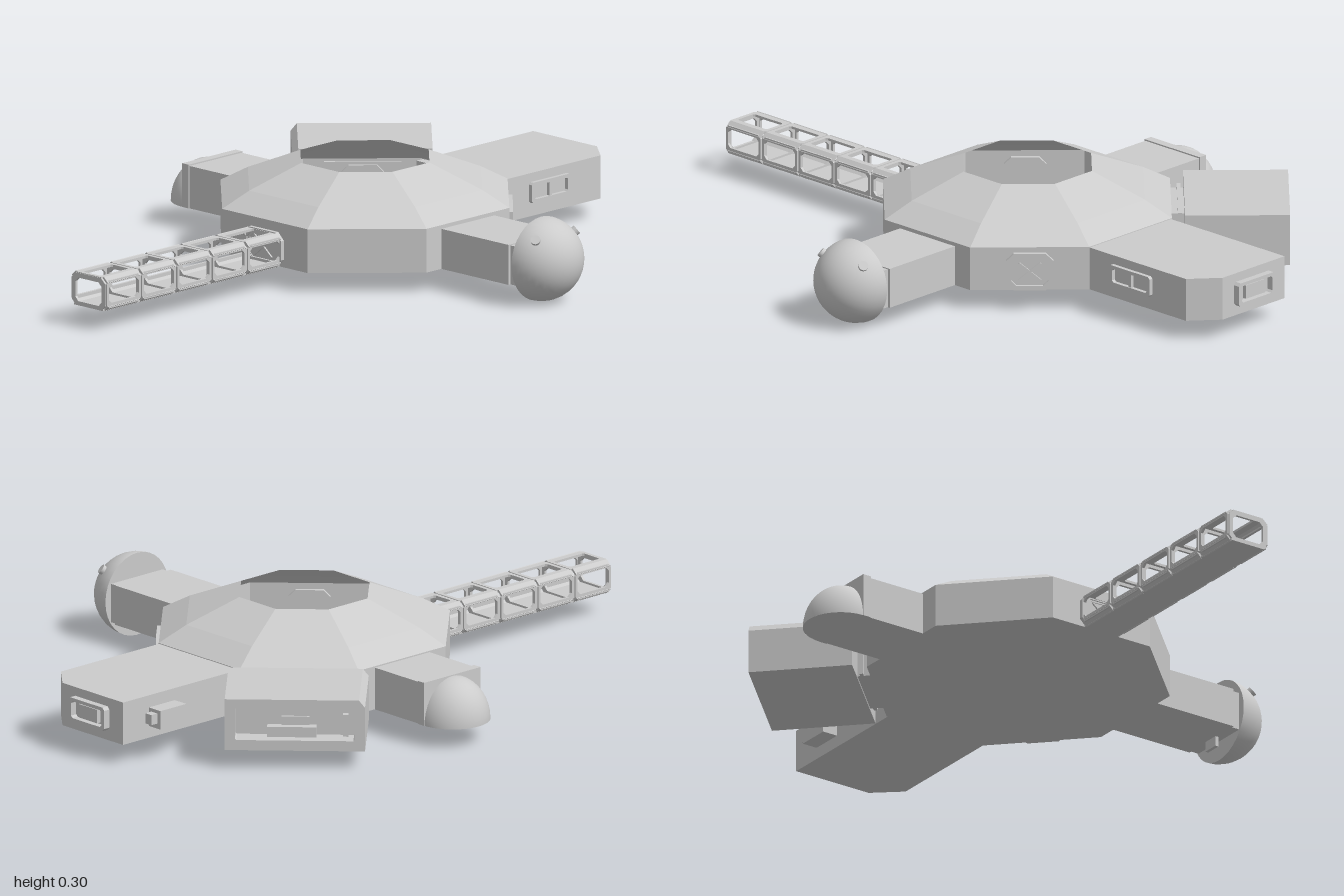
import * as THREE from 'three';

const mat = new THREE.MeshStandardMaterial({ color: 0xcccccc, flatShading: true, side: THREE.DoubleSide });
const smooth = new THREE.MeshStandardMaterial({ color: 0xcccccc, side: THREE.DoubleSide });
const BASE = 0.06;

function add(parent, name, geo, material = mat) {
  const m = new THREE.Mesh(geo, material);
  m.name = name;
  parent.add(m);
  return m;
}

// Box given by its limits on each axis
function box(parent, name, x0, x1, y0, y1, z0, z1) {
  const m = add(parent, name, new THREE.BoxGeometry(x1 - x0, y1 - y0, z1 - z0));
  m.position.set((x0 + x1) / 2, (y0 + y1) / 2, (z0 + z1) / 2);
  return m;
}

const poly = (pts) => new THREE.Shape(pts.map(([x, y]) => new THREE.Vector2(x, y)));

// Rectangle with cut corners
function cutRect(x0, x1, y0, y1, c) {
  return [[x0 + c, y0], [x1 - c, y0], [x1, y0 + c], [x1, y1 - c],
    [x1 - c, y1], [x0 + c, y1], [x0, y1 - c], [x0, y0 + c]];
}

function plate(outer, holes, depth) {
  const s = poly(outer);
  holes.forEach((h) => s.holes.push(poly(h)));
  return new THREE.ExtrudeGeometry(s, { depth, bevelEnabled: false });
}

// Group whose local +z points away from the hub
function spoke(parent, name, angle) {
  const g = new THREE.Group();
  g.name = name;
  g.rotation.y = angle;
  parent.add(g);
  return g;
}

// Framed hatch with cross bars, facing +z
function hatch(parent, name, x, y, z, w, h) {
  const g = new THREE.Group();
  g.name = name;
  g.position.set(x, y, z);
  parent.add(g);
  const a = w / 2, b = h / 2, t = 0.014;
  add(g, 'hatchFrame', plate(cutRect(-a, a, -b, b, 0.022),
    [cutRect(-a + t, a - t, -b + t, b - t, 0.016)], 0.012));
  add(g, 'hatchPanel', plate(cutRect(-a + t, a - t, -b + t, b - t, 0.016), [], 0.005));
  for (const s of [-1, 1]) {
    const bar = box(g, 'hatchBar', -a * 0.6, a * 0.6, -0.003, 0.003, 0.004, 0.01);
    bar.rotation.z = s * 0.7;
  }
}

function buildHub(root) {
  const hub = new THREE.Group();
  hub.name = 'hub';
  root.add(hub);
  const k = 1 / Math.cos(Math.PI / 8);
  const profile = [[0, BASE], [0.407, BASE], [0.407, 0.188], [0.33, 0.233], [0.182, 0.298]]
    .map(([r, y]) => new THREE.Vector2(r * k, y));
  const shell = new THREE.LatheGeometry(profile, 8, Math.PI / 8).toNonIndexed();
  shell.computeVertexNormals();
  add(hub, 'hubShell', shell);
  // Short posts on the hub floor and door frames on the inner walls
  for (let i = 0; i < 4; i++) {
    const a = i * Math.PI / 2;
    const post = add(hub, 'floorPost', new THREE.CylinderGeometry(0.011, 0.011, 0.06, 12), smooth);
    post.position.set(0.085 * Math.sin(a), 0.09, 0.085 * Math.cos(a));
  }
  for (let i = 0; i < 8; i++) {
    const g = spoke(hub, 'innerDoor', i * Math.PI / 4);
    add(g, 'innerDoorFrame', plate(cutRect(-0.06, 0.06, 0.062, 0.172, 0.02),
      [cutRect(-0.045, 0.045, 0.07, 0.158, 0.015)], 0.012)).position.z = 0.39;
  }
}

// Open lattice boom made of five bays
function buildBoom(root) {
  const boom = spoke(root, 'boom', 0);
  const start = 0.407, n = 5, len = (1.125 - start) / n, w = 0.07, top = 0.157;
  hatch(boom, 'boomDoor', 0, 0.11, start, 0.15, 0.1);
  for (let i = 0; i < n; i++) {
    const bay = new THREE.Group();
    bay.name = 'boomBay';
    bay.position.z = start + i * len;
    boom.add(bay);
    box(bay, 'bayFloor', -w + 0.012, w - 0.012, BASE, BASE + 0.006, 0, len);
    for (const s of [-1, 1]) {
      const side = add(bay, 'baySide', plate(cutRect(0.003, len - 0.003, BASE + 0.008, top - 0.008, 0.01),
        [cutRect(0.011, len - 0.011, 0.083, 0.139, 0.01)], 0.008));
      side.rotation.y = -Math.PI / 2;
      side.position.x = s > 0 ? w : -w + 0.008;
      // Sloped edge rails
      for (const [y, tilt] of [[top - 0.008, -1], [BASE + 0.008, 1]]) {
        const rail = box(bay, 'edgeRail', -0.011, 0.011, -0.003, 0.003, 0.006, len - 0.006);
        rail.position.x = s * (w - 0.009);
        rail.position.y = y;
        rail.rotation.z = s * tilt * 0.75;
      }
    }
    const roof = add(bay, 'bayRoof', plate(cutRect(-w + 0.014, w - 0.014, 0.002, len - 0.002, 0.008),
      [cutRect(-0.034, 0.034, 0.014, len - 0.014, 0.005)], 0.007));
    roof.rotation.x = Math.PI / 2;
    roof.position.y = top;
  }
  // Ring frames at each joint
  for (let i = 0; i <= n; i++) {
    const ring = add(boom, 'jointRing', plate(cutRect(-w + 0.005, w - 0.005, BASE, top - 0.002, 0.015),
      [cutRect(-w + 0.018, w - 0.018, BASE + 0.012, top - 0.016, 0.012)], 0.008));
    ring.position.z = start + i * len - (i === n ? 0.008 : i ? 0.004 : 0);
  }
}

function buildDomeArm(root) {
  const arm = spoke(root, 'domeArm', Math.PI / 2);
  box(arm, 'armBody', -0.108, 0.108, BASE, 0.177, 0.39, 0.672);
  box(arm, 'armCollar', -0.1, 0.1, BASE, 0.174, 0.672, 0.7);
  box(arm, 'collarTab', -0.025, 0.025, 0.03, BASE + 0.01, 0.668, 0.678);
  const dome = new THREE.Group();
  dome.name = 'dome';
  dome.position.set(0, 0.123, 0.697);
  arm.add(dome);
  const r = 0.122;
  add(dome, 'domeShell', new THREE.SphereGeometry(r, 32, 12, 0, Math.PI * 2, 0, Math.PI / 2), smooth).rotation.x = Math.PI / 2;
  add(dome, 'domeBack', new THREE.CircleGeometry(r, 32));
  for (const s of [-1, 1]) {
    const dir = new THREE.Vector3(s * 0.08, 0.075, 0.055).normalize();
    const stud = add(dome, 'domeStud', new THREE.CylinderGeometry(0.014, 0.014, 0.016, 16), smooth);
    stud.position.copy(dir).multiplyScalar(r);
    stud.quaternion.setFromUnitVectors(new THREE.Vector3(0, 1, 0), dir);
  }
}

function buildRoundedArm(root) {
  const arm = spoke(root, 'roundedArm', -Math.PI / 2);
  box(arm, 'armBody', -0.106, 0.106, BASE, 0.184, 0.39, 0.6);
  box(arm, 'armBand', -0.109, 0.109, BASE, 0.188, 0.59, 0.616);
  const nose = add(arm, 'roundedEnd', new THREE.SphereGeometry(1, 28, 10, 0, Math.PI, 0, Math.PI / 2), smooth);
  nose.scale.set(0.108, 0.125, 0.11);
  nose.position.set(0, BASE, 0.615);
  const under = add(arm, 'endFloor', new THREE.CircleGeometry(1, 20, 0, Math.PI));
  under.scale.set(0.108, 0.11, 1);
  under.rotation.x = Math.PI / 2;
  under.position.set(0, BASE, 0.615);
}

function buildRearArm(root) {
  const arm = spoke(root, 'rearArm', Math.PI);
  const plan = [[-0.167, 0.38], [0.165, 0.38], [0.165, 0.855], [-0.087, 0.855], [-0.167, 0.787]];
  const body = add(arm, 'rearBody', plate(plan, [], 0.126));
  body.rotation.x = Math.PI / 2;
  body.position.y = 0.186;
  // End window, side unit and side window
  add(arm, 'endWindow', plate(cutRect(-0.042, 0.108, 0.09, 0.16, 0.008),
    [cutRect(-0.03, 0.096, 0.1, 0.15, 0.006)], 0.02)).position.z = 0.855;
  box(arm, 'endPanel', -0.005, 0.071, 0.105, 0.145, 0.855, 0.868);
  box(arm, 'sideUnit', 0.165, 0.213, 0.095, 0.15, 0.655, 0.755);
  box(arm, 'sideUnitCap', 0.175, 0.2, 0.11, 0.14, 0.755, 0.778);
  const win = add(arm, 'sideWindow', plate(cutRect(0.495, 0.655, 0.1, 0.16, 0.006),
    [cutRect(0.507, 0.643, 0.11, 0.15, 0.005)], 0.012));
  win.rotation.y = -Math.PI / 2;
  win.position.x = -0.167;
  box(arm, 'windowBar', -0.176, -0.167, 0.105, 0.155, 0.57, 0.58);
}

// Boxy module with a recessed outer face
function buildModule(root) {
  const mod = spoke(root, 'cornerModule', -Math.PI * 0.75);
  const section = [[-0.199, 0.055], [0.199, 0.055], [0.199, 0.185], [0.182, 0.206], [-0.199, 0.206]];
  const recess = cutRect(-0.17, 0.17, 0.085, 0.182, 0.004);
  add(mod, 'moduleBody', plate(section, [], 0.238)).position.z = 0.444;
  add(mod, 'moduleRim', plate(section, [recess], 0.06)).position.z = 0.682;
  box(mod, 'recessBench', -0.08, 0.06, 0.085, 0.115, 0.682, 0.71);
  box(mod, 'recessPanel', -0.04, 0.04, 0.115, 0.14, 0.682, 0.69);
  box(mod, 'recessPost', 0.135, 0.15, 0.085, 0.15, 0.682, 0.7);
  box(mod, 'moduleNeck', -0.11, 0.11, BASE, 0.18, 0.4, 0.446);
  box(mod, 'neckFlange', -0.125, 0.125, BASE, 0.188, 0.425, 0.436);
}

export function createModel() {
  const model = new THREE.Group();
  model.name = 'station';
  const root = new THREE.Group();
  root.name = 'stationBody';
  root.position.set(-0.046, 0, -0.125);
  model.add(root);
  buildHub(root);
  buildBoom(root);
  buildDomeArm(root);
  buildRoundedArm(root);
  buildRearArm(root);
  buildModule(root);
  hatch(spoke(root, 'sideEntrance', Math.PI * 0.75), 'sideHatch', 0, 0.117, 0.407, 0.135, 0.11);
  return model;
}
